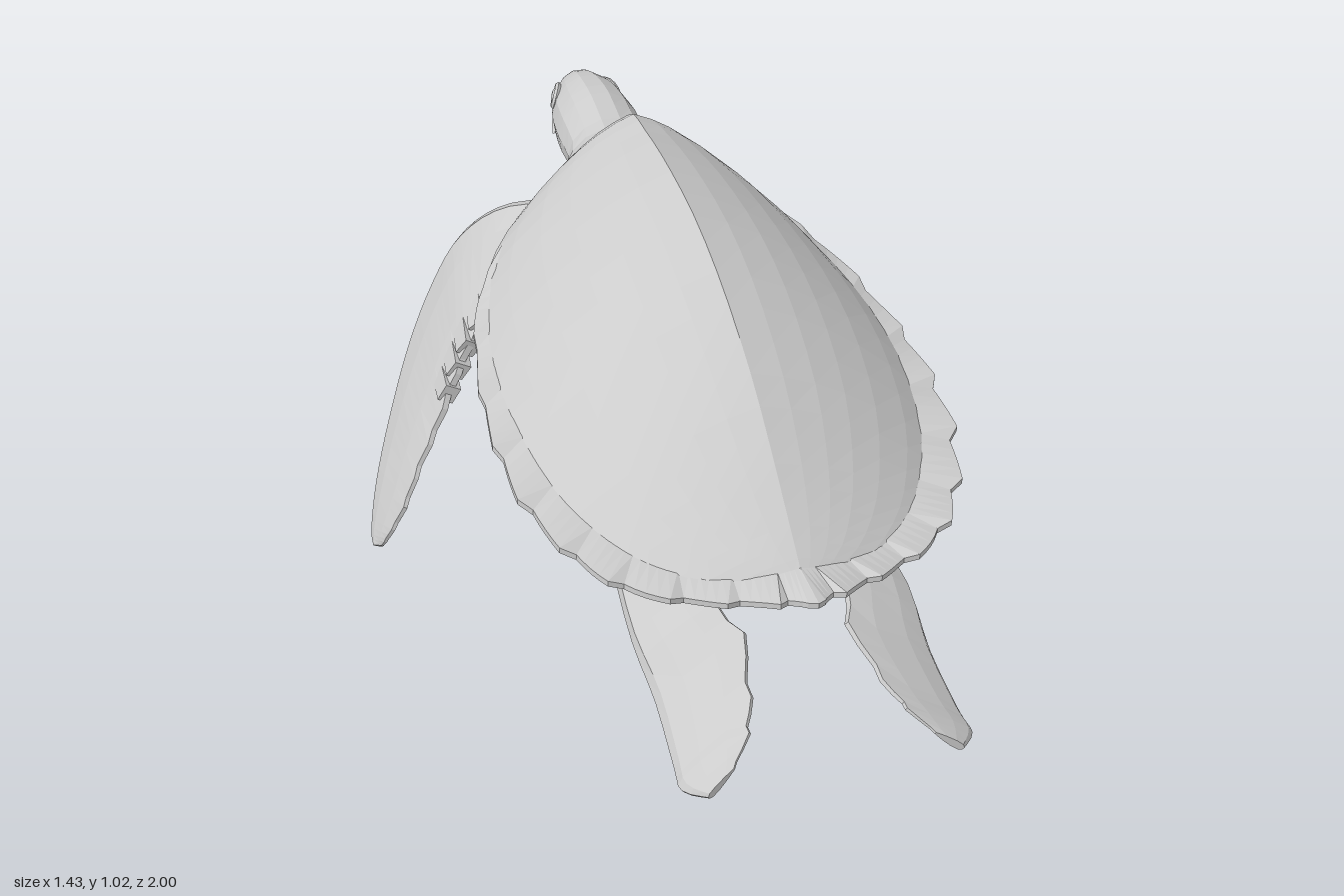
import * as THREE from 'three';

const material = new THREE.MeshStandardMaterial({ color: 0xcccccc, flatShading: true });
const V = (x, y, z) => new THREE.Vector3(x, y, z);

// Smoothly resample a short table of rows to n + 1 rows (Catmull-Rom)
function sample(rows, n) {
  const at = i => rows[Math.max(0, Math.min(rows.length - 1, i))];
  return Array.from({ length: n + 1 }, (_, k) => {
    const u = k / n * (rows.length - 1), i = Math.min(Math.floor(u), rows.length - 2), t = u - i;
    return rows[0].map((_, c) => {
      const [a, b, d, e] = [at(i - 1)[c], at(i)[c], at(i + 1)[c], at(i + 2)[c]];
      return b + 0.5 * t * (d - a + t * (2 * a - 5 * b + 4 * d - e + t * (3 * (b - d) + e - a)));
    });
  });
}

// Skin closed rings of points and cap both ends, facing outward
function loft(name, rings) {
  const m = rings[0].length, n = rings.length, pts = rings.flat(), idx = [];
  for (let i = 0; i < n - 1; i++) for (let j = 0; j < m; j++) {
    const a = i * m + j, b = i * m + (j + 1) % m;
    idx.push(a, b, a + m, b, b + m, a + m);
  }
  [0, n - 1].forEach(r => {
    const c = pts.length;
    pts.push(rings[r].reduce((s, p) => s.add(p), V(0, 0, 0)).divideScalar(m));
    for (let j = 0; j < m; j++) {
      const a = r * m + j, b = r * m + (j + 1) % m;
      if (r) idx.push(a, b, c); else idx.push(b, a, c);
    }
  });
  let volume = 0;
  for (let i = 0; i < idx.length; i += 3)
    volume += pts[idx[i]].dot(pts[idx[i + 1]].clone().cross(pts[idx[i + 2]]));
  if (volume < 0) idx.reverse();
  const g = new THREE.BufferGeometry().setFromPoints(pts);
  g.setIndex(idx);
  g.computeVertexNormals();
  const mesh = new THREE.Mesh(g, material);
  mesh.name = name;
  return mesh;
}

// Keeled carapace and stepped belly plates in one body: z, half width, crown, rim, belly
function body() {
  const rows = sample([
    [-0.645, 0.105, 0.905, 0.825, 0.735], [-0.555, 0.24, 1.01, 0.80, 0.62], [-0.45, 0.355, 1.025, 0.745, 0.52],
    [-0.30, 0.435, 1.028, 0.69, 0.475], [-0.1, 0.48, 1.008, 0.655, 0.45], [0.1, 0.487, 0.95, 0.625, 0.44],
    [0.3, 0.457, 0.855, 0.585, 0.44], [0.45, 0.39, 0.755, 0.56, 0.46], [0.55, 0.31, 0.68, 0.55, 0.49],
    [0.63, 0.2, 0.62, 0.55, 0.515], [0.68, 0.05, 0.58, 0.56, 0.545]], 25);
  return loft('shell', rows.map(([z, w, crown, rim, belly], k) => {
    const step = 0.02 * ((k % 5) / 4 - 0.5);
    const half = [0, 0.17, 0.34, 0.5, 0.67, 0.84, 1]
      .map(t => [t * w, rim + (crown - rim) * (1 - 0.42 * t - 0.58 * t * t)]);
    [[0.9, 0.17], [0.65, 0.52], [0.41, 0.83], [0.22, 0.98], [0, 1]]
      .forEach(([t, d]) => half.push([t * w, rim + (belly - rim) * d + step * d]));
    const left = half.slice(1, -1).reverse().map(([x, y]) => [-x, y]);
    return half.concat(left).map(([x, y]) => V(x, y, z));
  }));
}

// Softly toothed flange around the shell edge: x, y, z, width
function rim() {
  const half = sample([
    [0.3, 0.775, -0.49, 0.003], [0.425, 0.70, -0.32, 0.008], [0.472, 0.66, -0.1, 0.025],
    [0.48, 0.63, 0.1, 0.042], [0.453, 0.595, 0.28, 0.06], [0.39, 0.565, 0.44, 0.067],
    [0.31, 0.55, 0.55, 0.063], [0.19, 0.55, 0.62, 0.06], [0.07, 0.565, 0.67, 0.065],
    [0, 0.575, 0.685, 0.08]], 54);
  const path = half.concat(half.slice(0, -1).reverse().map(([x, y, z, w]) => [-x, y, z, w]));
  return loft('shellRim', path.map(([x, y, z, w], k) => {
    const a = path[Math.max(0, k - 1)], b = path[Math.min(path.length - 1, k + 1)];
    const out = V(b[2] - a[2], 0, a[0] - b[0]).normalize();
    const tooth = Math.min(k, path.length - 1 - k) % 5 / 4;
    const o = V(x, y + 0.01 * tooth, z).addScaledVector(out, w * (0.75 + 0.35 * tooth));
    return [V(x, y + 0.022, z).addScaledVector(out, -0.025), o.clone().setY(o.y + 0.006),
      o.clone().setY(o.y - 0.008), V(x, y - 0.025, z).addScaledVector(out, -0.025)];
  }));
}

// Neck and head: z, centre height, half width, half height
function head() {
  const group = new THREE.Group();
  group.name = 'head';
  const rows = sample([
    [-0.5, 0.82, 0.2, 0.13], [-0.6, 0.82, 0.155, 0.105], [-0.68, 0.823, 0.107, 0.09],
    [-0.78, 0.827, 0.102, 0.107], [-0.86, 0.828, 0.093, 0.104], [-0.92, 0.825, 0.076, 0.094],
    [-0.97, 0.82, 0.053, 0.074], [-1.0, 0.817, 0.022, 0.045]], 16);
  group.add(loft('neckAndHead', rows.map(([z, y, w, h]) => Array.from({ length: 14 }, (_, j) => {
    const a = j / 14 * Math.PI * 2;
    return V(Math.cos(a) * w, y + Math.sin(a) * h, z);
  }))));
  for (const s of [1, -1]) {
    const eye = new THREE.Group();
    eye.name = s > 0 ? 'leftEye' : 'rightEye';
    const ball = new THREE.Mesh(new THREE.SphereGeometry(0.022, 10, 8), material);
    ball.scale.z = 0.5;
    ball.name = 'eyeball';
    const lid = new THREE.Mesh(new THREE.TorusGeometry(0.025, 0.007, 5, 12), material);
    lid.name = 'eyelid';
    eye.add(ball, lid);
    eye.scale.x = 1.25;
    eye.position.set(s * 0.07, 0.862, -0.915);
    eye.rotation.set(-0.2, s * 1.95, 0, 'YXZ');
    group.add(eye);
  }
  // Beak line
  const lip = new THREE.CatmullRomCurve3([V(-0.078, 0.768, -0.885), V(-0.062, 0.773, -0.942),
    V(-0.034, 0.782, -0.985), V(0, 0.787, -0.998), V(0.034, 0.782, -0.985), V(0.062, 0.773, -0.942),
    V(0.078, 0.768, -0.885)]);
  const beak = new THREE.Mesh(new THREE.TubeGeometry(lip, 16, 0.006, 5), material);
  beak.name = 'beakLine';
  group.add(beak);
  return group;
}

// Flat paddle from rows of leading edge xyz, trailing edge xyz, thickness
function flipper(name, rows, n, notch, place, pads) {
  const group = new THREE.Group();
  group.name = name;
  const edges = sample(rows, n).map(r => ({
    lead: place(r[0], r[1], r[2]), trail: place(r[3], r[4], r[5]), t: r[6] }));
  const mid = e => e.lead.clone().add(e.trail);
  const frames = edges.map((e, k) => {
    const chord = e.trail.clone().sub(e.lead);
    const axis = mid(edges[Math.min(n, k + 1)]).sub(mid(edges[Math.max(0, k - 1)])).normalize();
    const normal = chord.clone().cross(axis).normalize();
    return { ...e, chord, normal, axis };
  });
  group.add(loft('paddle', frames.map(({ lead, chord, normal, t }, k) => {
    const end = 1 - (k % 3) * notch;
    return [[0, 0.35], [0.1, 0.9], [0.35, 1], [0.7, 0.7], [end, 0.25],
      [end, -0.25], [0.7, -0.7], [0.35, -1], [0.1, -0.9], [0, -0.35]]
      .map(([c, h]) => lead.clone().addScaledVector(chord, c).addScaledVector(normal, h * t / 2));
  })));
  // Raised scales along the trailing edge
  for (const k of pads) {
    const { lead, chord, normal, axis, t } = frames[k];
    const pad = new THREE.Mesh(new THREE.BoxGeometry(0.085, 0.046, t * 0.65), material);
    pad.name = 'edgeScale';
    const x = chord.clone().normalize(), z = x.clone().cross(axis).normalize();
    pad.quaternion.setFromRotationMatrix(new THREE.Matrix4().makeBasis(x, z.clone().cross(x), z));
    pad.position.copy(lead).addScaledVector(chord, 0.84).addScaledVector(normal, 0.002);
    group.add(pad);
  }
  return group;
}

export function createModel() {
  const model = new THREE.Group();
  model.name = 'seaTurtle';

  // Shell and head lean slightly to one side
  const trunk = new THREE.Group();
  trunk.name = 'trunk';
  trunk.rotation.z = -0.06;
  trunk.position.x = -0.033;
  const tail = new THREE.Mesh(new THREE.ConeGeometry(0.05, 0.2, 7), material);
  tail.name = 'tail';
  tail.rotation.x = Math.PI / 2;
  tail.position.set(0, 0.52, 0.6);
  trunk.add(body(), rim(), head(), tail);
  model.add(trunk);

  const front = [
    [0.12, 0.80, -0.52, 0.12, 0.67, -0.36, 0.10], [0.25, 0.755, -0.605, 0.29, 0.65, -0.40, 0.09],
    [0.345, 0.655, -0.67, 0.40, 0.56, -0.39, 0.075], [0.42, 0.52, -0.688, 0.47, 0.46, -0.36, 0.065],
    [0.505, 0.36, -0.655, 0.53, 0.36, -0.32, 0.055], [0.59, 0.20, -0.57, 0.595, 0.26, -0.28, 0.045],
    [0.655, 0.09, -0.47, 0.645, 0.17, -0.25, 0.04], [0.695, 0.02, -0.375, 0.685, 0.085, -0.26, 0.035],
    [0.71, 0.008, -0.32, 0.70, 0.035, -0.285, 0.02]];
  const hind = [
    [0.26, 0.435, 0.40, 0.12, 0.51, 0.42, 0.06], [0.28, 0.395, 0.6, 0.12, 0.515, 0.6, 0.06],
    [0.275, 0.34, 0.74, 0.08, 0.485, 0.74, 0.05], [0.285, 0.29, 0.89, 0.11, 0.425, 0.87, 0.04],
    [0.29, 0.285, 0.95, 0.14, 0.395, 0.94, 0.03], [0.25, 0.30, 1.0, 0.19, 0.35, 0.985, 0.02]];
  for (const s of [1, -1]) {
    const side = s > 0 ? 'left' : 'right';
    const placeFront = (x, y, z) => V(s * x, y + (s < 0 ? 0.09 * x : 0), z);
    const placeHind = (x, y, z) => V(s * x - (s < 0 ? 0.07 : 0), y + (s < 0 ? 0.04 : 0), z);
    model.add(flipper(side + 'FrontFlipper', front, 32, 0.018, placeFront, [6, 8, 10, 12, 14]));
    model.add(flipper(side + 'HindFlipper', hind, 15, 0.035, placeHind, []));
  }

  // Rest the lowest point on the ground
  model.updateMatrixWorld(true);
  model.position.y = -new THREE.Box3().setFromObject(model, true).min.y;
  return model;
}
